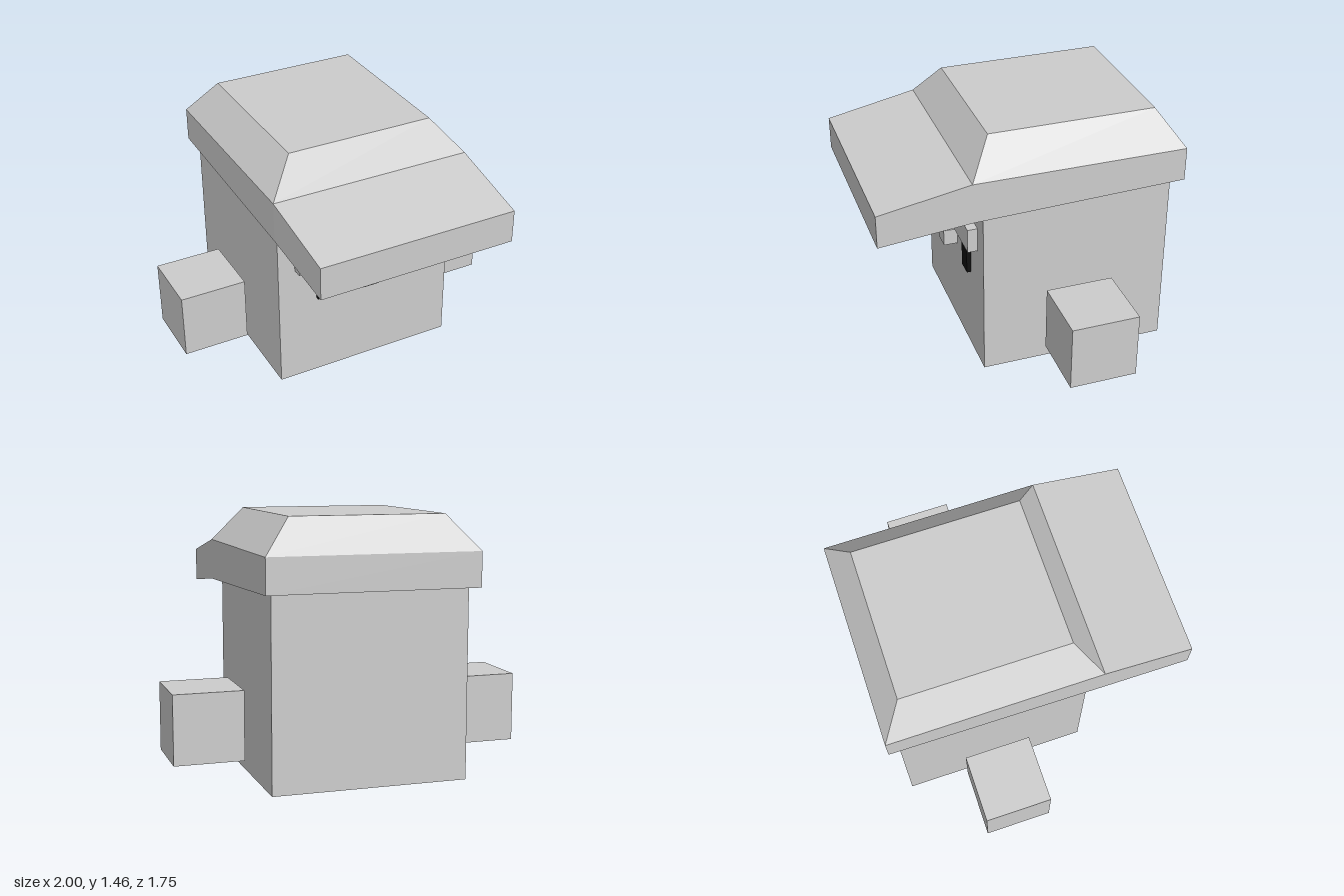
import * as THREE from 'three';

const grey = new THREE.MeshStandardMaterial({ color: 0xcccccc });
grey.name = 'stone grey';
const black = new THREE.MeshStandardMaterial({ color: 0x101010 });
black.name = 'eye black';

// Box spanning two opposite corners
function box(name, material, [x0, y0, z0], [x1, y1, z1]) {
  const mesh = new THREE.Mesh(new THREE.BoxGeometry(x1 - x0, y1 - y0, z1 - z0), material);
  mesh.position.set((x0 + x1) / 2, (y0 + y1) / 2, (z0 + z1) / 2);
  mesh.name = name;
  return mesh;
}

// Closed faceted solid through four-cornered rings, each counter-clockwise seen from the last ring's end
function loft(name, material, rings) {
  const pos = [];
  const quad = (a, b, c, d) => pos.push(...a, ...b, ...c, ...a, ...c, ...d);
  for (let r = 0; r < rings.length - 1; r++) {
    for (let i = 0; i < 4; i++) {
      const j = (i + 1) % 4;
      quad(rings[r][i], rings[r][j], rings[r + 1][j], rings[r + 1][i]);
    }
  }
  quad(...[...rings[0]].reverse());
  quad(...rings[rings.length - 1]);
  const geometry = new THREE.BufferGeometry();
  geometry.setAttribute('position', new THREE.Float32BufferAttribute(pos, 3));
  geometry.computeVertexNormals();
  const mesh = new THREE.Mesh(geometry, material);
  mesh.name = name;
  return mesh;
}

// Upright section of the cap band at depth z
const section = (z, w, y0, y1) => [[-w, y0, z], [w, y0, z], [w, y1, z], [-w, y1, z]];
// Level section of the cap crown at height y
const level = (y, w, back, front) => [[-w, y, front], [w, y, front], [w, y, back], [-w, y, back]];

export function createModel() {
  const model = new THREE.Group();
  model.name = 'blockCharacter';

  // Body block, tucked into the cap
  model.add(box('body', grey, [-0.55, 0, -0.81], [0.55, 1.1, 0.285]));

  // Cap: band running forward into a drooping visor, topped by a tapered crown
  const cap = new THREE.Group();
  cap.name = 'cap';
  cap.add(loft('bandAndVisor', grey, [
    section(-0.875, 0.595, 1.065, 1.26),
    section(0.355, 0.595, 1.025, 1.26),
    section(0.875, 0.583, 0.967, 1.16),
  ]));
  cap.add(loft('crown', grey, [
    level(1.26, 0.595, -0.875, 0.355),
    level(1.455, 0.435, -0.742, 0.22),
  ]));
  model.add(cap);

  // Nose
  model.add(box('nose', grey, [-0.053, 0.55, 0.27], [0.05, 0.648, 0.367]));

  // Paired features
  for (const [side, s] of [['left', 1], ['right', -1]]) {
    const pair = (name, material, [x0, y0, z0], [x1, y1, z1]) => model.add(
      box(side + name, material, [Math.min(s * x0, s * x1), y0, z0], [Math.max(s * x0, s * x1), y1, z1]));
    pair('Eye', black, [0.22, 0.517, 0.27], [0.315, 0.712, 0.31]);
    pair('Brow', grey, [0.087, 0.743, 0.27], [0.447, 0.887, 0.343]);
    pair('Hand', grey, [0.607, 0.11, -0.46], [1, 0.502, -0.068]);
  }
  return model;
}
